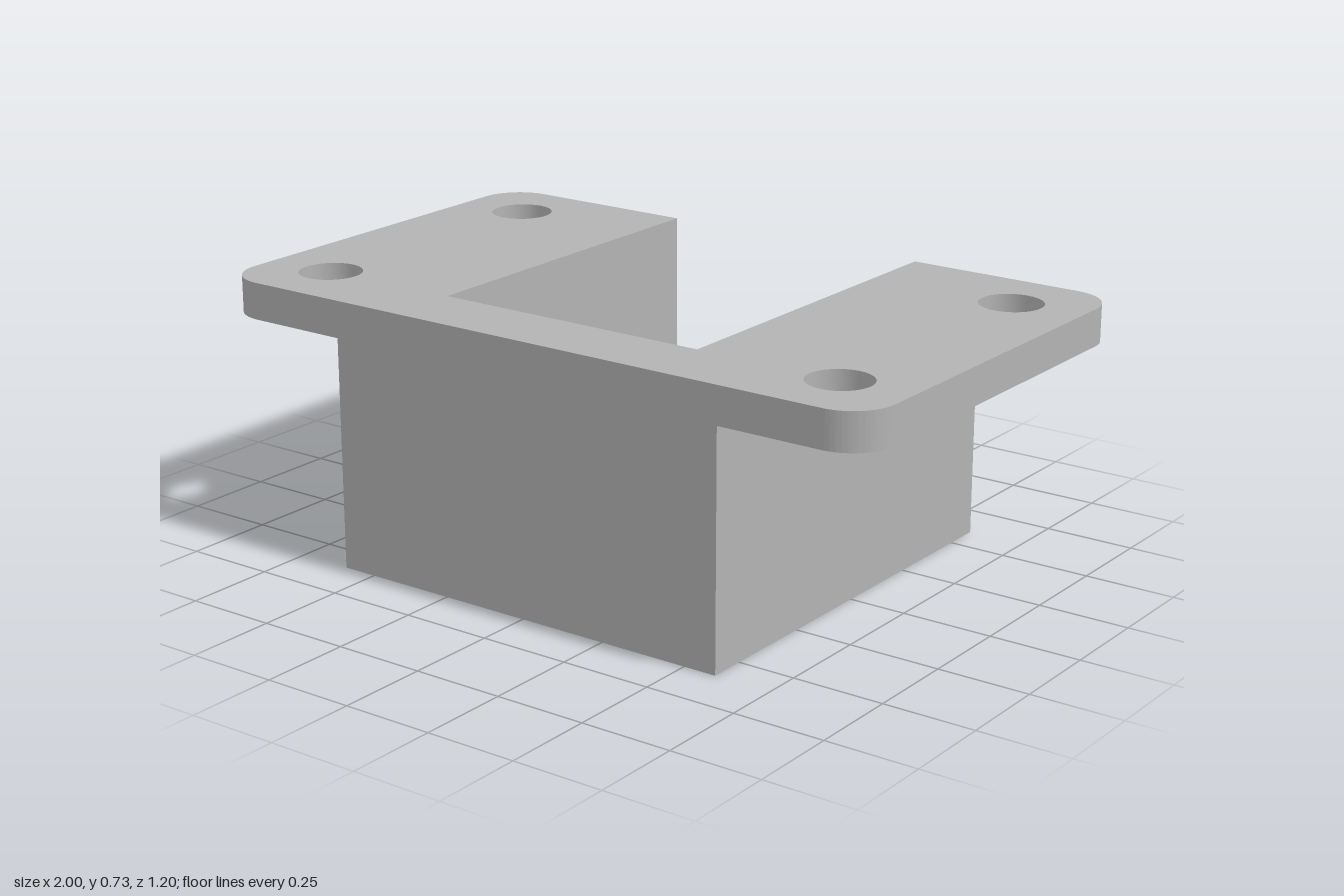
import * as THREE from 'three';
import { toCreasedNormals } from 'three/addons/utils/BufferGeometryUtils.js';

const BLOCK = { left: -0.597, right: 0.592 };
const POCKET = { left: -0.396, right: 0.392, front: 0.4 };
const DEPTH = 0.6; // half depth

// Plan outlines are drawn in x and -z, then extruded upward from y0 to y1.
function slab(name, shape, y0, y1, material) {
  const raw = new THREE.ExtrudeGeometry(shape, { depth: y1 - y0, bevelEnabled: false, curveSegments: 16 });
  raw.rotateX(-Math.PI / 2).translate(0, y0, 0);
  const mesh = new THREE.Mesh(toCreasedNormals(raw, Math.PI / 6), material);
  mesh.name = name;
  return mesh;
}

// Outline with optional rounded corners and a pocket open at the back.
function outline(x0, x1, radius, pocket) {
  const s = new THREE.Shape();
  const d = DEPTH, r = radius, q = Math.PI / 2;
  s.moveTo(x0 + r, -d).lineTo(x1 - r, -d);
  if (r) s.absarc(x1 - r, -d + r, r, -q, 0, false);
  s.lineTo(x1, d - r);
  if (r) s.absarc(x1 - r, d - r, r, 0, q, false);
  if (pocket) {
    s.lineTo(POCKET.right, d).lineTo(POCKET.right, -POCKET.front);
    s.lineTo(POCKET.left, -POCKET.front).lineTo(POCKET.left, d);
  }
  s.lineTo(x0 + r, d);
  if (r) s.absarc(x0 + r, d - r, r, q, 2 * q, false);
  s.lineTo(x0, -d + r);
  if (r) s.absarc(x0 + r, -d + r, r, 2 * q, 3 * q, false);
  return s;
}

function drill(shape, x, z, radius) {
  shape.holes.push(new THREE.Path().absarc(x, -z, radius, 0, Math.PI * 2, true));
}

export function createModel() {
  const group = new THREE.Group();
  group.name = 'mountingBracket';
  const grey = new THREE.MeshStandardMaterial({ color: 0xb3b3b3 });
  grey.name = 'grey';

  // Mounting flange with four corner holes
  const flange = outline(-1, 1, 0.12, true);
  for (const x of [-0.8, 0.8]) for (const z of [-0.4, 0.4]) drill(flange, x, z, 0.085);

  // Pocket walls, and a floor whose two bores end in a narrow lip
  const walls = outline(BLOCK.left, BLOCK.right, 0, true);
  const floor = outline(BLOCK.left, BLOCK.right, 0, false);
  const lip = outline(BLOCK.left, BLOCK.right, 0, false);
  for (const z of [-0.3, 0.1]) {
    drill(floor, 0, z, 0.1);
    drill(lip, 0, z, 0.085);
  }

  group.add(
    slab('flange', flange, 0.63, 0.73, grey),
    slab('pocketWalls', walls, 0.25, 0.63, grey),
    slab('pocketFloor', floor, 0.02, 0.25, grey),
    slab('boreLip', lip, 0, 0.02, grey)
  );
  return group;
}
